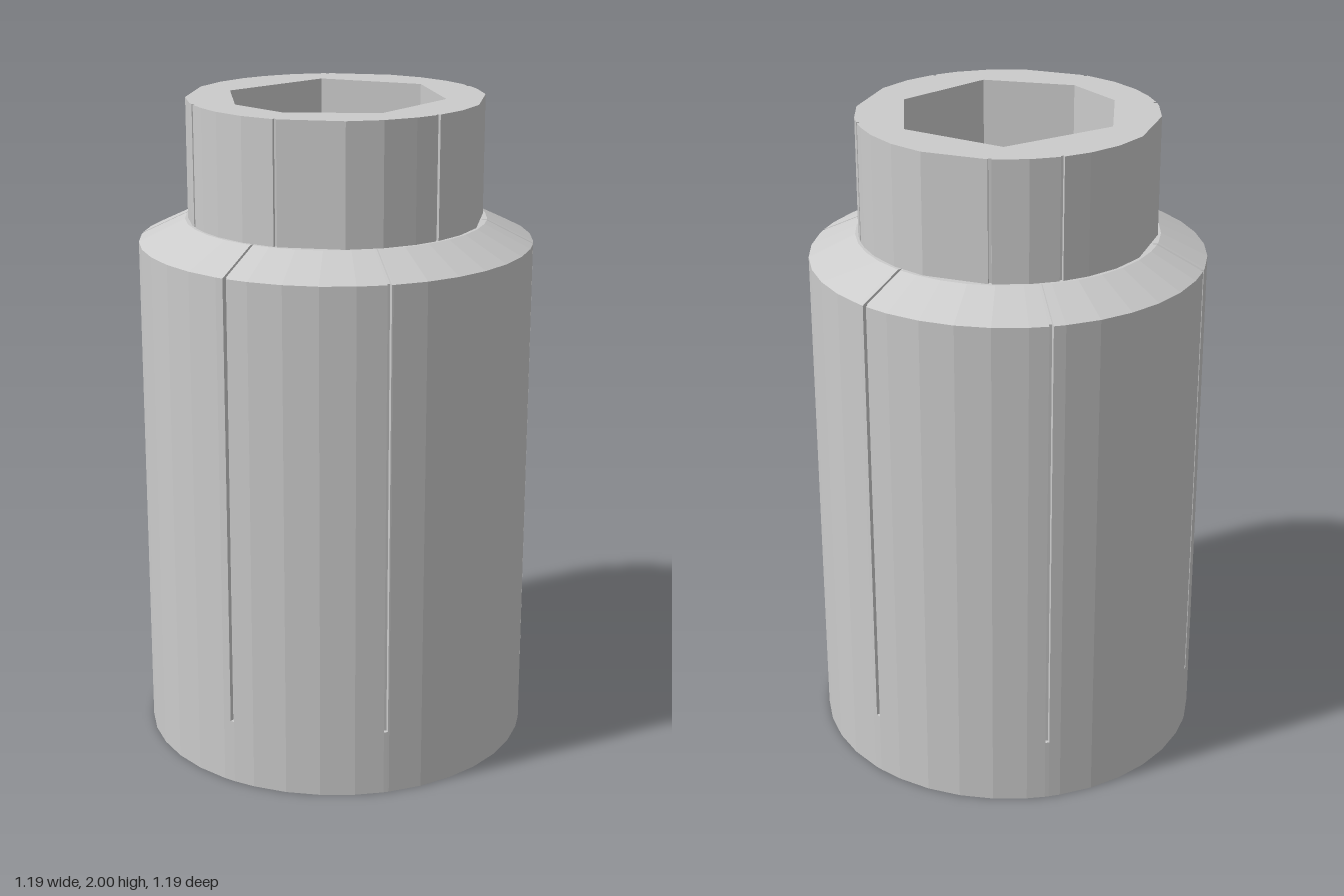
import * as THREE from 'three';

const material = new THREE.MeshStandardMaterial({ color: 0xcccccc, flatShading: true });
const rad = THREE.MathUtils.degToRad;

// Polar outline as [angle, inNotch] pairs: facet corners with narrow notches cut in
function notchedOutline(corners, notches, half) {
  const gap = (a, b) => Math.abs(((a - b + 540) % 360) - 180);
  const pts = corners.filter(a => notches.every(n => gap(a, n) > half + 0.3)).map(a => [a, false]);
  for (const n of notches) {
    pts.push([n - half, false], [n - half * 0.8, true], [n + half * 0.8, true], [n + half, false]);
  }
  return pts.sort((p, q) => p[0] - q[0]);
}

// Closed solid through stacked outlines; each level is [height, radius, notch depth]
function loft(outline, levels) {
  const pos = [], index = [], n = outline.length, last = levels.length - 1;
  for (const [y, r, depth] of levels) {
    for (const [a, cut] of outline) {
      const q = r - (cut ? depth : 0);
      pos.push(q * Math.cos(rad(a)), y, q * Math.sin(rad(a)));
    }
  }
  pos.push(0, levels[0][0], 0, 0, levels[last][0], 0);
  const bottom = n * levels.length, top = bottom + 1;
  for (let i = 0; i < n; i++) {
    const j = (i + 1) % n;
    for (let k = 0; k < last; k++) {
      const a = k * n + i, b = k * n + j;
      index.push(a, a + n, b, b, a + n, b + n);
    }
    index.push(bottom, i, j, top, last * n + j, last * n + i);
  }
  const g = new THREE.BufferGeometry();
  g.setAttribute('position', new THREE.Float32BufferAttribute(pos, 3));
  g.setIndex(index);
  const flat = g.toNonIndexed();
  flat.computeVertexNormals();
  return flat;
}

export function createModel() {
  const group = new THREE.Group();
  const add = (name, geometry) => {
    const mesh = new THREE.Mesh(geometry, material);
    mesh.name = name;
    group.add(mesh);
  };

  // Body: plain foot, six long grooves, chamfered shoulder
  const facets = Array.from({ length: 36 }, (_, i) => i * 10 + 5);
  const bodyOutline = notchedOutline(facets, [66, 112, 177, 239, 293, 358], 0.6);
  add('body', loft(bodyOutline, [
    [0, 0.595, 0], [0.2, 0.595, 0], [0.2, 0.595, 0.012],
    [1.57, 0.595, 0.015], [1.638, 0.455, 0.015],
  ]));

  // Neck: faceted ring with small seams around a seven-sided socket
  const quarter = [13, 27, 40, 50, 63, 77];
  const neckCorners = [0, 90, 180, 270].flatMap(q => quarter.map(a => a + q));
  const neckOutline = notchedOutline(neckCorners, [40, 103, 149, 231, 257, 326], 0.7);
  const ring = new THREE.Shape(neckOutline.map(([a, cut]) => {
    const r = cut ? 0.438 : 0.446;
    return new THREE.Vector2(r * Math.cos(rad(a)), r * Math.sin(rad(a)));
  }));
  const socket = [[0.22, -0.26], [0.33, 0.01], [0.18, 0.285], [-0.1, 0.32],
    [-0.26, 0.21], [-0.33, -0.04], [-0.1, -0.32]];
  ring.holes.push(new THREE.Path(socket.map(p => new THREE.Vector2(...p))));
  const neck = new THREE.ExtrudeGeometry(ring, { depth: 0.362, bevelEnabled: false });
  neck.rotateX(Math.PI / 2).translate(0, 2, 0);
  add('neck', neck);

  return group;
}
